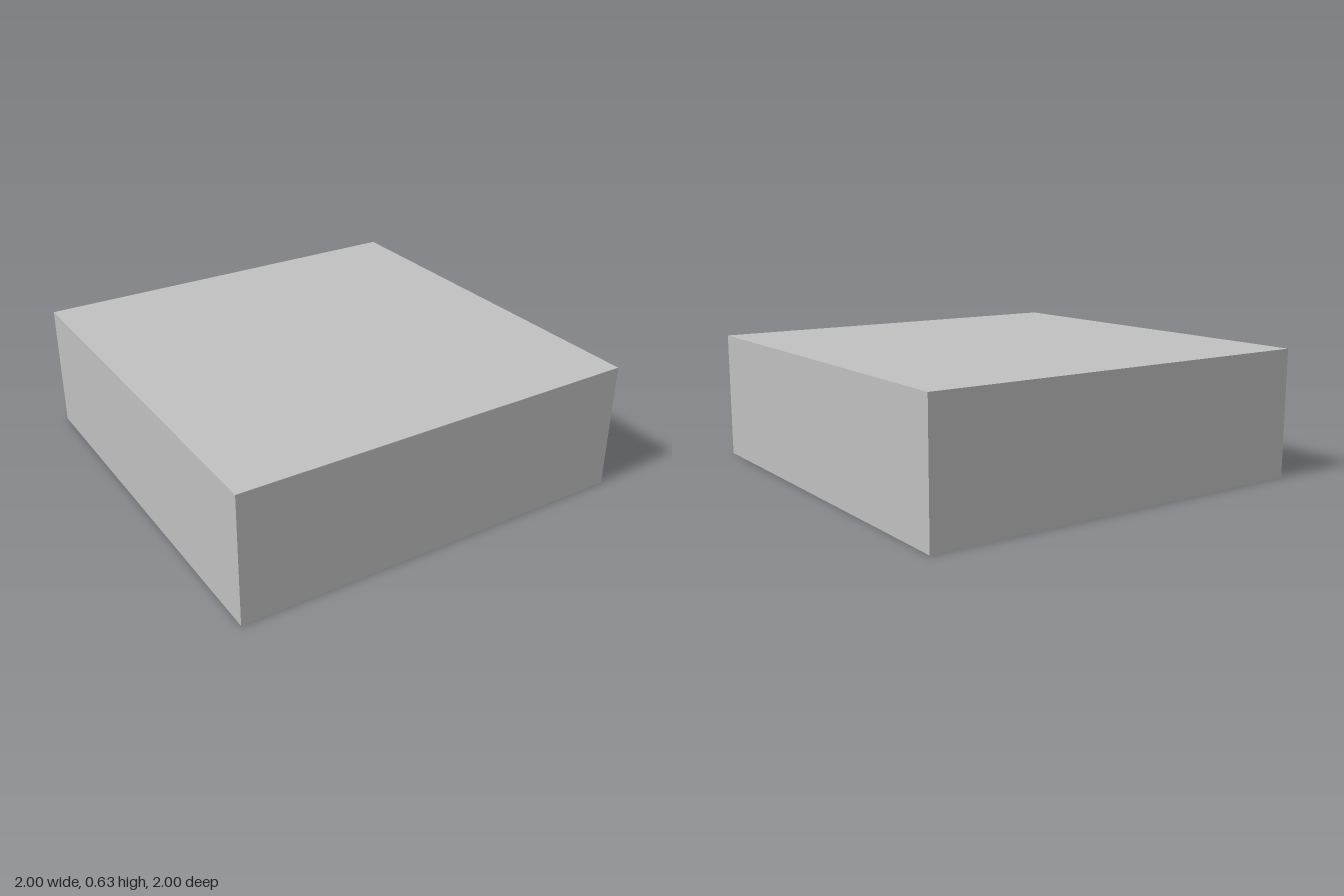
import * as THREE from 'three';
import { toCreasedNormals } from 'three/addons/utils/BufferGeometryUtils.js';

const HEIGHT = 0.63;
const HOLE_OFFSET = 0.51;
const RIM_RADIUS = 0.33;
const BORE_RADIUS = 0.3;
const CHAMFER = 0.035;
const DEPTH = 0.26;
const SEGMENTS = 64;

export function createModel() {
  const model = new THREE.Group();
  model.name = 'socketBlock';
  const grey = new THREE.MeshStandardMaterial({ color: 0xc0c0c0 });
  grey.name = 'lightGrey';

  const add = (name, geometry) => {
    const mesh = new THREE.Mesh(geometry, grey);
    mesh.name = name;
    model.add(mesh);
    return mesh;
  };

  const centres = [-1, 1].flatMap((i) => [-1, 1].map((j) => [i * HOLE_OFFSET, j * HOLE_OFFSET]));

  // Block: top and four sides, with the box's plain bottom left out
  const block = new THREE.BoxGeometry(2, HEIGHT, 2);
  block.setIndex(Array.from(block.index.array).filter((_, i) => i < 18 || i >= 24));
  block.clearGroups();
  block.translate(0, HEIGHT / 2, 0);
  add('block', block);

  // Underside: square face pierced by four round holes
  const face = new THREE.Shape([[-1, -1], [1, -1], [1, 1], [-1, 1]].map(([x, y]) => new THREE.Vector2(x, y)));
  for (const [x, z] of centres) {
    face.holes.push(new THREE.Path().absarc(x, z, RIM_RADIUS, 0, Math.PI * 2, true));
  }
  add('underside', new THREE.ShapeGeometry(face, SEGMENTS).rotateX(Math.PI / 2));

  // Sockets: flat ceiling, straight bore and chamfered rim, facing inwards
  const profile = [[0, DEPTH], [BORE_RADIUS, DEPTH], [BORE_RADIUS, CHAMFER], [RIM_RADIUS, 0]];
  const socket = toCreasedNormals(
    new THREE.LatheGeometry(profile.map(([r, y]) => new THREE.Vector2(r, y)), SEGMENTS), 0.5);
  for (const [x, z] of centres) add('socket', socket).position.set(x, 0, z);

  return model;
}
